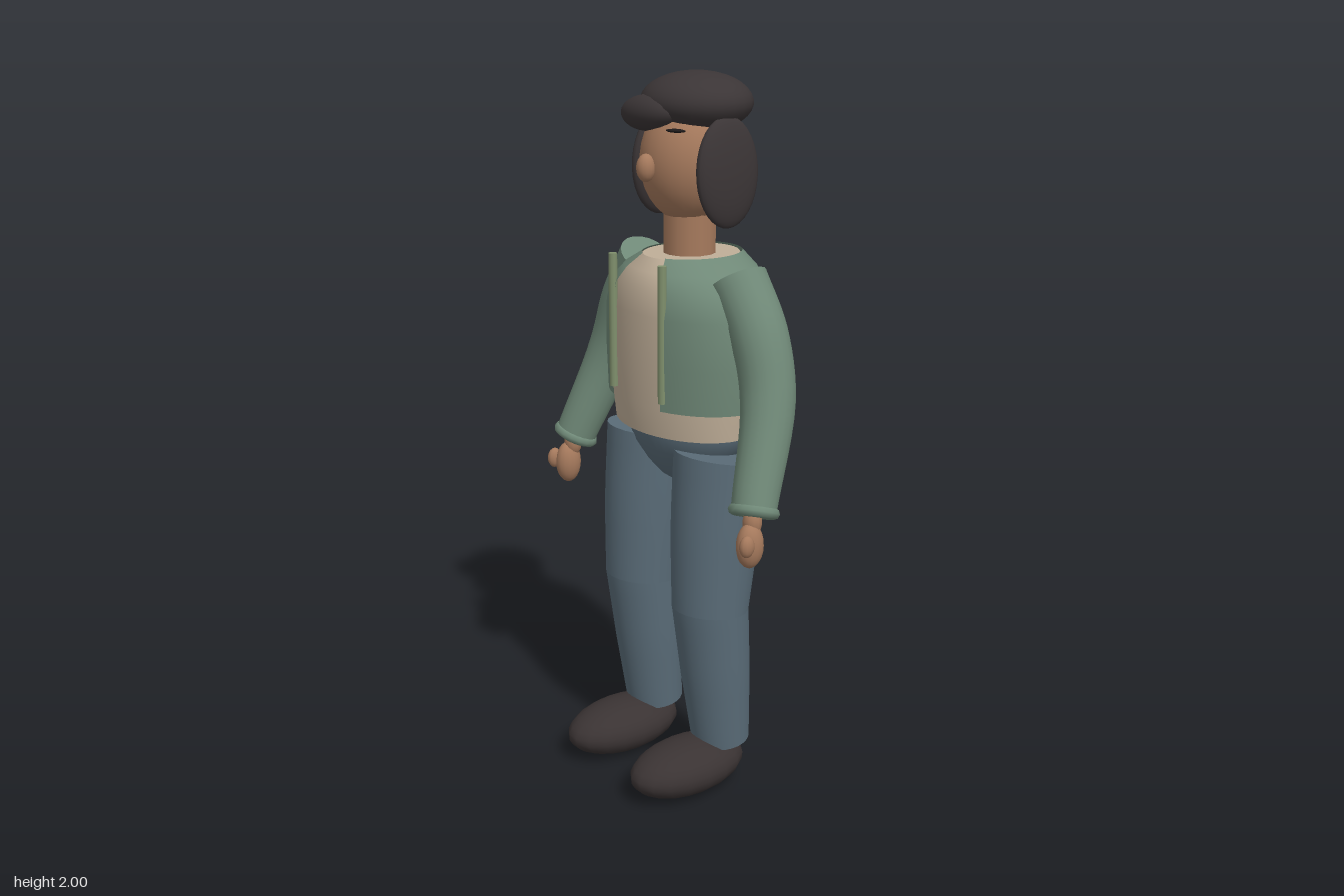
import * as THREE from 'three';

const mat = (name, color, side = THREE.FrontSide) => {
  const m = new THREE.MeshStandardMaterial({ color, side });
  m.name = name;
  return m;
};

// Skin joining a stack of rings; optional flat end caps with crisp rims
function loft(rings, closed = true, caps = true) {
  const n = rings[0].length, pos = [], idx = [];
  rings.forEach(r => r.forEach(p => pos.push(p.x, p.y, p.z)));
  for (let i = 0; i < rings.length - 1; i++) {
    for (let j = 0; j < (closed ? n : n - 1); j++) {
      const k = (j + 1) % n, a = i * n + j, b = i * n + k;
      idx.push(a, b, a + n, b, b + n, a + n);
    }
  }
  if (caps) {
    [rings[0], rings[rings.length - 1]].forEach((ring, end) => {
      const base = pos.length / 3;
      const c = ring.reduce((s, p) => s.add(p), new THREE.Vector3()).divideScalar(n);
      [...ring, c].forEach(p => pos.push(p.x, p.y, p.z));
      for (let j = 0; j < n; j++) {
        const a = base + j, b = base + (j + 1) % n;
        if (end) idx.push(base + n, a, b); else idx.push(base + n, b, a);
      }
    });
  }
  const g = new THREE.BufferGeometry();
  g.setAttribute('position', new THREE.Float32BufferAttribute(pos, 3));
  g.setIndex(idx);
  g.computeVertexNormals();
  return g;
}

// Level elliptical rings from rows of [y, rx, rz, centreZ]; gap is the half-angle left open in front
function body(rows, gap = 0, caps = true, n = 40) {
  const rings = rows.map(([y, rx, rz, cz]) => Array.from({ length: n }, (_, j) => {
    const t = gap ? gap + (2 * Math.PI - 2 * gap) * j / (n - 1) : 2 * Math.PI * j / n;
    return new THREE.Vector3(rx * Math.sin(t), y, cz + rz * Math.cos(t));
  }));
  return loft(rings, !gap, caps);
}

// Round limb swept along a path, with radius changing from point to point
function limb(points, radii, steps, n = 20) {
  const curve = new THREE.CatmullRomCurve3(points);
  const rings = [];
  for (let i = 0; i <= steps; i++) {
    const f = i / steps, c = curve.getPoint(f), t = curve.getTangent(f);
    const u = new THREE.Vector3().crossVectors(t, new THREE.Vector3(0, 0, 1)).normalize();
    const v = new THREE.Vector3().crossVectors(t, u);
    const q = f * (radii.length - 1), k = Math.min(Math.floor(q), radii.length - 2);
    const r = THREE.MathUtils.lerp(radii[k], radii[k + 1], q - k);
    rings.push(Array.from({ length: n }, (_, j) => {
      const a = 2 * Math.PI * j / n;
      return c.clone().addScaledVector(u, r * Math.cos(a)).addScaledVector(v, r * Math.sin(a));
    }));
  }
  return loft(rings);
}

export function createModel() {
  const root = new THREE.Group();
  root.name = 'standingFigure';
  const skin = mat('skin', 0xa67a5d), hair = mat('hair', 0x3b3536), shoe = mat('shoeLeather', 0x3a3333);
  const jacketMat = mat('jacketGreen', 0x6f8877, THREE.DoubleSide), shirt = mat('shirtCream', 0xbfae98);
  const jeans = mat('jeansBlue', 0x5a6c78), trim = mat('zipTrim', 0x80906d), dark = mat('browDark', 0x1e1a1a);

  const add = (name, geo, material, pos = [0, 0, 0], rot = [0, 0, 0]) => {
    const m = new THREE.Mesh(geo, material);
    m.name = name;
    m.position.set(...pos);
    m.rotation.set(...rot);
    root.add(m);
    return m;
  };
  const blob = (name, material, pos, size, rot, seg = 24) => {
    const g = new THREE.SphereGeometry(1, seg, Math.ceil(seg * 0.7)).scale(...size);
    return add(name, g, material, pos, rot);
  };
  const V = (x, y, z) => new THREE.Vector3(x, y, z);

  // Head
  blob('head', skin, [0, 1.77, -0.057], [0.13, 0.167, 0.133]);
  blob('nose', skin, [0, 1.76, 0.085], [0.025, 0.037, 0.026], [0, 0, 0], 14);
  add('neck', new THREE.CylinderGeometry(0.072, 0.072, 0.14, 14), skin, [0, 1.57, -0.06]);
  blob('hairTop', hair, [0, 1.92, -0.082], [0.158, 0.08, 0.145]);
  blob('fringe', hair, [-0.05, 1.894, 0.036], [0.106, 0.048, 0.052], [0, 0, 0.07]);

  // Torso
  add('shirt', body([
    [1.05, 0.236, 0.165, -0.047], [1.13, 0.243, 0.17, -0.044], [1.25, 0.25, 0.173, -0.045],
    [1.38, 0.245, 0.173, -0.045], [1.45, 0.215, 0.17, -0.05], [1.49, 0.175, 0.155, -0.058],
    [1.523, 0.122, 0.136, -0.066]]), shirt);
  add('jacket', body([
    [1.13, 0.265, 0.188, -0.052], [1.25, 0.274, 0.195, -0.056], [1.38, 0.268, 0.196, -0.056],
    [1.45, 0.235, 0.19, -0.058], [1.49, 0.19, 0.172, -0.064], [1.526, 0.125, 0.142, -0.07]],
    0.41, false), jacketMat);
  add('pelvis', body([
    [0.872, 0.035, 0.035, -0.06], [0.9, 0.095, 0.075, -0.06], [0.94, 0.14, 0.108, -0.06],
    [0.99, 0.185, 0.135, -0.06], [1.03, 0.207, 0.145, -0.06], [1.06, 0.21, 0.146, -0.06]]), jeans);

  // Paired parts
  for (const s of [1, -1]) {
    const side = s > 0 ? 'left' : 'right';
    blob(side + 'SideHair', hair, [s * 0.14, 1.75, -0.074], [0.032, 0.145, 0.1], [0, 0, s * 0.04]);
    blob(side + 'Brow', dark, [s * 0.066, 1.858, 0.038], [0.028, 0.005, 0.012], [0, s * 0.5, 0], 12);
    add(side + 'Zip', new THREE.CylinderGeometry(0.012, 0.012, 0.37, 10), trim, [s * 0.11, 1.338, 0.116]);

    add(side + 'Sleeve', limb(
      [V(s * 0.2, 1.48, -0.065), V(s * 0.288, 1.35, -0.064), V(s * 0.345, 1.19, -0.05), V(s * 0.408, 0.93, 0.045)],
      [0.078, 0.077, 0.073, 0.06], 18), jacketMat);
    add(side + 'Cuff', new THREE.TorusGeometry(0.052, 0.016, 8, 16).rotateX(Math.PI / 2), jacketMat,
      [s * 0.41, 0.922, 0.047], [-0.35, 0, s * 0.23]);
    blob(side + 'Hand', skin, [s * 0.421, 0.836, 0.068], [0.033, 0.062, 0.039], [0, 0, 0], 16);
    blob(side + 'Wrist', skin, [s * 0.414, 0.895, 0.055], [0.026, 0.04, 0.026], [0, 0, 0], 12);
    blob(side + 'Thumb', skin, [s * 0.447, 0.848, 0.1], [0.017, 0.03, 0.022], [0, 0, 0], 12);

    // Thigh and shin meet in a crease at the knee
    add(side + 'Thigh', limb(
      [V(s * 0.156, 0.993, -0.058), V(s * 0.157, 0.78, -0.03), V(s * 0.159, 0.55, -0.012)],
      [0.138, 0.124, 0.108], 8, 24), jeans);
    add(side + 'Shin', limb(
      [V(s * 0.159, 0.57, -0.012), V(s * 0.158, 0.35, -0.034), V(s * 0.158, 0.13, -0.055)],
      [0.108, 0.099, 0.083], 8, 24), jeans);
    blob(side + 'Shoe', shoe, [s * 0.157, 0.077, 0.065], [0.108, 0.077, 0.187], [0, 0, 0], 18);
  }
  return root;
}
